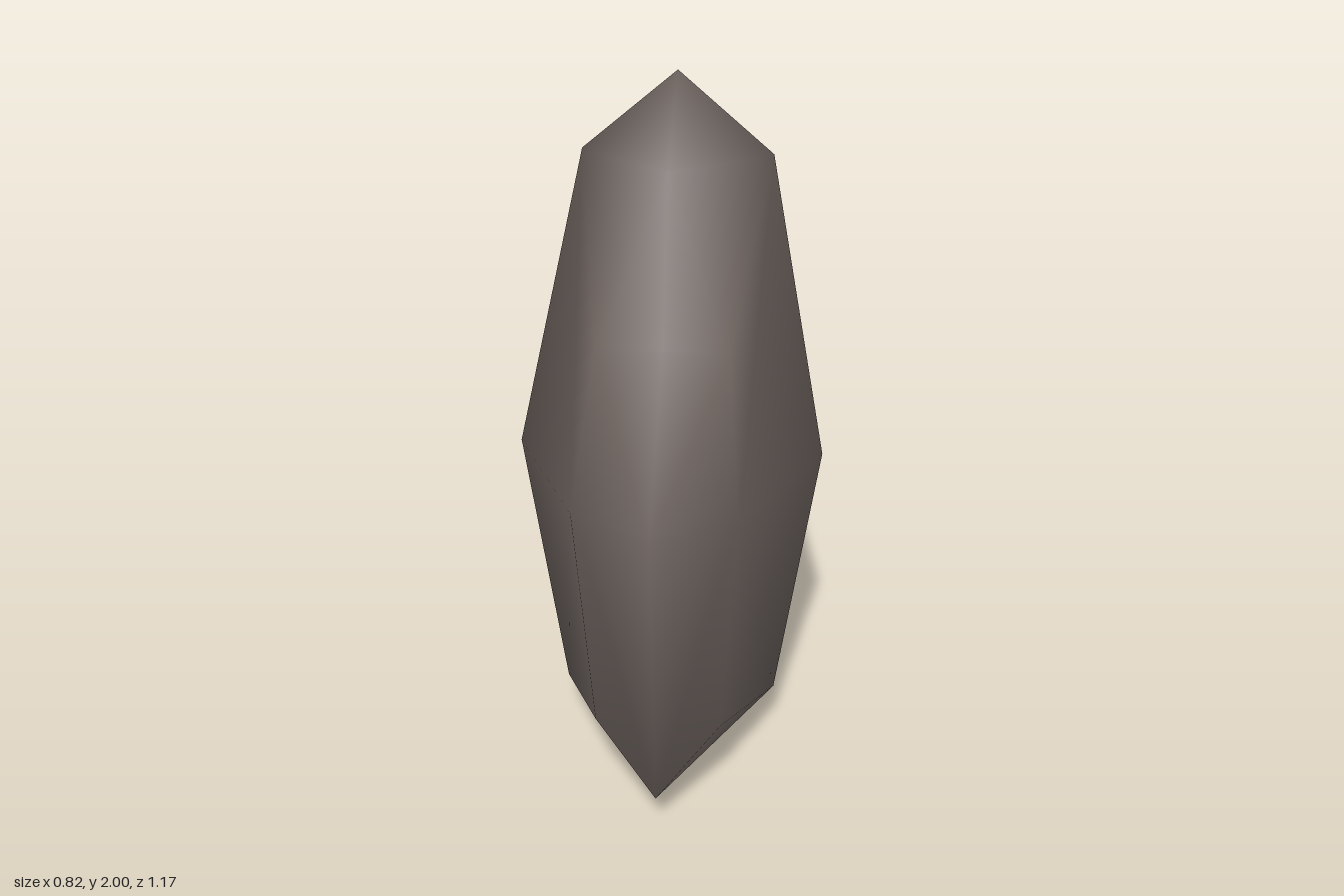
import * as THREE from 'three';

// Half rings from front centre, round the left side, to back centre
const upper = [[0, 1.84, 0.08], [0.17, 1.42, 0.23], [0.25, 1.78, -0.2], [0.17, 1.65, -0.43], [0, 1.84, -0.485]];
const middle = [[0, 1.09, 0.585], [0.21, 1.07, 0.455], [0.41, 1, -0.01], [0.3, 1, -0.46], [0, 1, -0.585]];
const lower = [[0, 0.15, 0.45], [0.17, 0.36, 0.38], [0.3, 0.21, 0], [0.2, 0.35, -0.37], [0, 0.15, -0.455]];

// Mirror a half ring into a full ring of eight points
const fullRing = (half) => [...half, ...half.slice(1, 4).reverse().map(([x, y, z]) => [-x, y, z])];

function rockGeometry() {
  const points = [
    ...fullRing(upper), ...fullRing(middle), ...fullRing(lower),
    [0, 2, -0.2], [0, 0, 0], [0, 1.42, 0.23],
  ];
  const peak = 24, base = 25, notch = 26;
  const U = (i) => i % 8, M = (i) => 8 + (i % 8), D = (i) => 16 + (i % 8);
  const index = [];
  const tri = (a, b, c) => index.push(a, b, c);

  for (let i = 0; i < 8; i++) {
    const j = i + 1;
    // Upper band, with a hollow above the front ledge
    if (i === 0) {
      tri(M(0), M(1), U(1)); tri(M(0), U(1), notch); tri(notch, U(1), U(0));
    } else if (i === 7) {
      tri(M(7), M(0), U(7)); tri(M(0), notch, U(7)); tri(notch, U(0), U(7));
    } else if (i % 2 === 0) {
      tri(M(i), M(j), U(i)); tri(M(j), U(j), U(i));
    } else {
      tri(M(i), M(j), U(j)); tri(M(i), U(j), U(i));
    }
    // Lower band
    if (i % 2 === 0) {
      tri(D(i), D(j), M(j)); tri(D(i), M(j), M(i));
    } else {
      tri(D(i), D(j), M(i)); tri(D(j), M(j), M(i));
    }
    // Peak and base caps
    if (i % 2 === 0) {
      tri(U(i), U(i + 2), peak); tri(U(i), U(j), U(i + 2));
      tri(D(i + 2), D(i), base); tri(D(i), D(i + 2), D(j));
    }
  }

  const geometry = new THREE.BufferGeometry();
  geometry.setAttribute('position', new THREE.Float32BufferAttribute(points.flat(), 3));
  geometry.setIndex(index);
  geometry.computeVertexNormals();
  return geometry;
}

export function createModel() {
  const stone = new THREE.MeshStandardMaterial({ color: 0x6b615d });
  stone.name = 'stone';
  const rock = new THREE.Mesh(rockGeometry(), stone);
  rock.name = 'rock';
  const group = new THREE.Group();
  group.name = 'standingRock';
  group.add(rock);
  return group;
}
